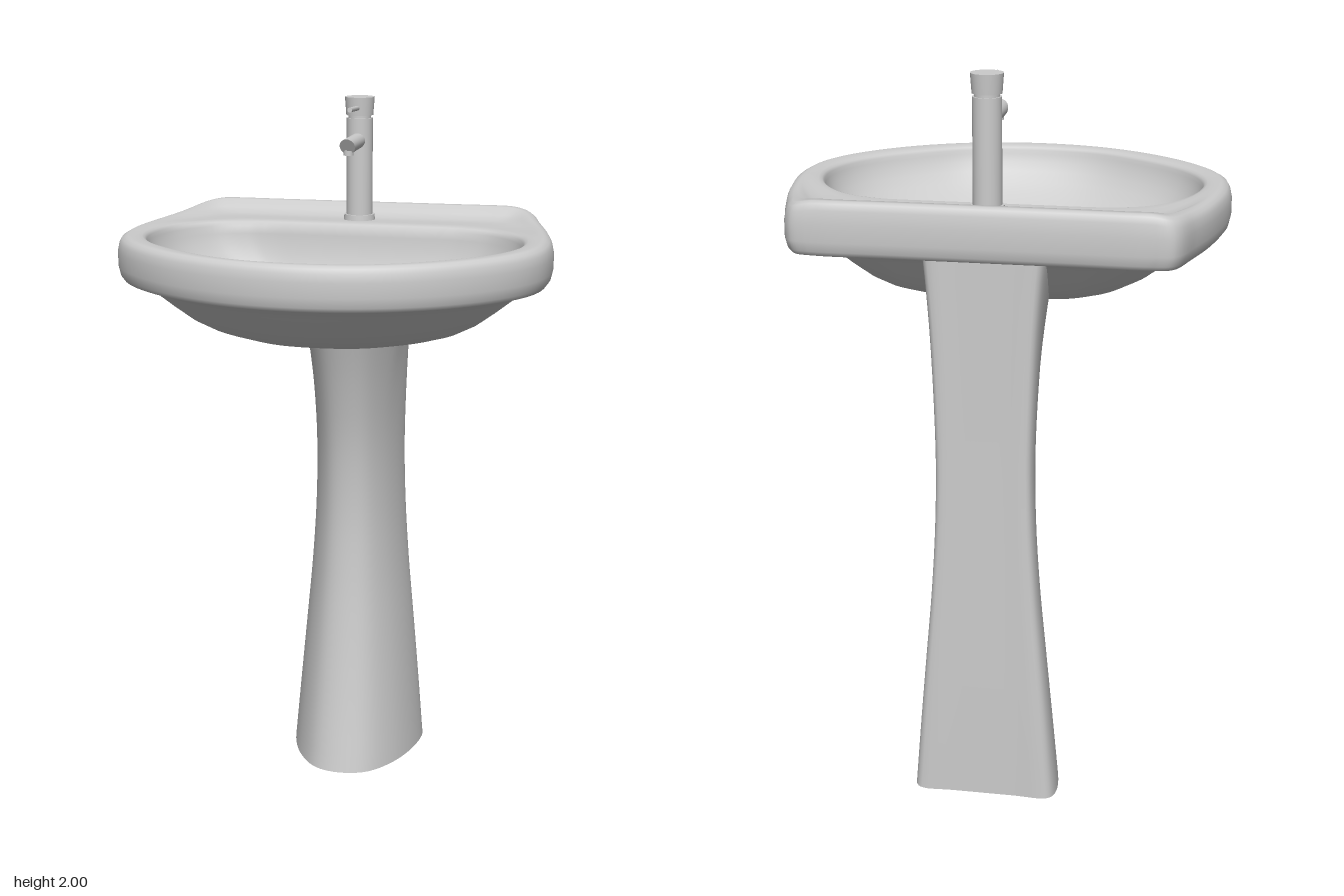
import * as THREE from 'three';

const V = (x, y, z) => new THREE.Vector3(x, y, z);
const ss = THREE.MathUtils.smoothstep;
const mat = new THREE.MeshStandardMaterial({ color: 0xcccccc, roughness: 0.5 });
const matDouble = new THREE.MeshStandardMaterial({ color: 0xcccccc, roughness: 0.5, side: THREE.DoubleSide });

// Closed smooth outline from a half outline [x, z], back centre to front centre, mirrored in x
function outline(half, n) {
  const mirrored = half.slice(1, -1).reverse().map(([x, z]) => [-x, z]);
  const pts = [...half, ...mirrored].map(([x, z]) => V(x, 0, z));
  const curve = new THREE.CatmullRomCurve3(pts, true, 'centripetal');
  return Array.from({ length: n }, (_, i) => curve.getPoint(i / n));
}

// Skin over a list of rings with equal point counts
function loft(rings) {
  const n = rings[0].length, index = [];
  for (let j = 0; j < rings.length - 1; j++)
    for (let i = 0; i < n; i++) {
      const a = j * n + i, b = j * n + (i + 1) % n;
      index.push(a, a + n, b, b, a + n, b + n);
    }
  const g = new THREE.BufferGeometry().setFromPoints(rings.flat());
  g.setIndex(index);
  g.computeVertexNormals();
  return g;
}

function add(parent, name, geometry, x = 0, y = 0, z = 0, material = mat) {
  const m = new THREE.Mesh(geometry, material);
  m.name = name;
  m.position.set(x, y, z);
  parent.add(m);
  return m;
}

// Basin: underside, rounded rim, raised back ledge and bowl in one skin
function basinGeometry() {
  const N = 132;
  const rim = outline([[0, -.49], [.25, -.49], [.45, -.49], [.5, -.475], [.54, -.36], [.58, -.2],
    [.602, -.02], [.585, .12], [.52, .24], [.38, .37], [.2, .457], [0, .487]], N);
  const hole = outline([[0, -.26], [.15, -.26], [.26, -.258], [.32, -.25], [.41, -.215], [.49, -.12],
    [.52, 0], [.505, .1], [.45, .2], [.33, .31], [.18, .395], [0, .42]], N);
  const under = outline([[0, -.42], [.15, -.42], [.27, -.415], [.34, -.4], [.43, -.34], [.51, -.2],
    [.545, -.02], [.53, .1], [.47, .21], [.35, .32], [.19, .41], [0, .435]], N);
  const scaled = (loop, s, y, cz) => loop.map(p => V(p.x * s, y, cz + (p.z - cz) * s));
  const rings = [];

  // underside
  for (const [s, y] of [[0, 1.378], [.35, 1.379], [.48, 1.381], [.57, 1.388], [.66, 1.403], [.75, 1.428],
    [.84, 1.464], [.93, 1.503], [1, 1.534]]) rings.push(scaled(under, s, y, -.05));

  // rim side and its rounded edges; the back is raised as a lip
  const lip = p => ss(-p.z, .12, .44) * (1 - ss(Math.abs(p.x), .42, .57));
  for (const [s, y, up] of [[.955, 1.534, 0], [.975, 1.537, 0], [.99, 1.549, 0], [1, 1.575, 0], [1, 1.615, .3],
    [.992, 1.637, .8], [.98, 1.649, 1], [.962, 1.655, 1]])
    rings.push(scaled(rim, s, y, 0).map(p => V(p.x, p.y + .026 * up * lip(p), p.z)));

  // top of the rim, dipping into the tap deck at the back
  for (const [k, y, up] of [[.1, 1.657, .9], [.22, 1.657, .1], [.35, 1.657, -.4], [.55, 1.656, -.4],
    [.75, 1.654, -.3], [.88, 1.65, -.1], [.96, 1.643, 0], [1, 1.632, 0]])
    rings.push(rim.map((p, i) => {
      const q = V(p.x * .962, y, p.z * .962).lerp(V(hole[i].x, y, hole[i].z), k);
      q.y += .026 * up * (up > 0 ? lip(q) : ss(-p.z, .1, .4));
      return q;
    }));

  // bowl, falling towards the drain
  for (const [s, y] of [[.985, 1.61], [.96, 1.585], [.92, 1.557], [.86, 1.527], [.78, 1.497], [.68, 1.469],
    [.56, 1.446], [.42, 1.429], [.26, 1.417], [.1, 1.411], [0, 1.41]])
    rings.push(scaled(hole, s, y, -.13));
  return loft(rings);
}

// Pedestal: flat-backed hollow column, waisted, its top fitted to the basin underside
function pedestalGeometry() {
  const section = outline([[0, 0], [.45, 0], [.88, 0], [.97, .05], [1, .16], [.93, .42],
    [.74, .7], [.42, .93], [0, 1]], 64);
  // half width, height, front z
  const profile = new THREE.CatmullRomCurve3([V(.2, 0, -.08), V(.183, .2, -.118), V(.165, .4, -.15),
    V(.147, .6, -.174), V(.135, .8, -.184), V(.132, 1, -.17), V(.142, 1.2, -.128), V(.163, 1.395, -.07)]);
  const rings = [];
  for (let j = 0; j <= 28; j++) {
    const t = j / 28, c = profile.getPoint(t);
    const back = -.46 + .012 * ss(t, 0, 1);
    rings.push(section.map(p => {
      const z = back + p.z * (c.z - back);
      return V(p.x * c.x, c.y + .14 * ss(-z, .25, .42) * ss(t, .7, 1), z);
    }));
  }
  return loft(rings);
}

function createTap() {
  const tap = new THREE.Group();
  tap.name = 'tap';
  const z = -.36;
  add(tap, 'tapBase', new THREE.CylinderGeometry(.044, .046, .02, 32), 0, 1.652, z);
  add(tap, 'tapBody', new THREE.CylinderGeometry(.038, .038, .3, 32), 0, 1.79, z);
  add(tap, 'tapNeck', new THREE.CylinderGeometry(.033, .033, .012, 32), 0, 1.944, z);
  add(tap, 'tapCap', new THREE.CylinderGeometry(.043, .039, .052, 32), 0, 1.974, z);

  // spout with a slanted tip
  const spout = new THREE.CylinderGeometry(.022, .022, .19, 24).rotateX(Math.PI / 2).translate(0, 0, .095);
  const pos = spout.attributes.position;
  for (let i = 0; i < pos.count; i++)
    if (pos.getZ(i) > .1) pos.setZ(i, .18 + pos.getY(i) * .6);
  spout.computeVertexNormals();
  add(tap, 'spout', spout, 0, 1.877, z);
  add(tap, 'spoutNozzle', new THREE.CylinderGeometry(.014, .014, .014, 20), 0, 1.858, -.197);

  // lever
  const lever = add(tap, 'lever', new THREE.CylinderGeometry(.007, .007, .15, 12).rotateX(Math.PI / 2), 0, 1.972, -.287);
  lever.rotation.x = -.05;
  return tap;
}

function createDrain() {
  const drain = new THREE.Group();
  drain.name = 'drain';
  add(drain, 'drainRing', new THREE.TorusGeometry(.037, .006, 10, 36).rotateX(Math.PI / 2), 0, 1.418, -.13);
  // grate with petal slots
  const disc = new THREE.Shape().absarc(0, 0, .036, 0, Math.PI * 2);
  for (let i = 0; i < 10; i++) {
    const a = i * Math.PI / 5, at = (r, d) => new THREE.Vector2(r * Math.cos(a + d), r * Math.sin(a + d));
    disc.holes.push(new THREE.Path([at(.012, -.14), at(.029, -.2), at(.032, 0), at(.029, .2), at(.012, .14)]));
  }
  const grate = new THREE.ExtrudeGeometry(disc, { depth: .006, bevelEnabled: false, curveSegments: 24 });
  add(drain, 'drainGrate', grate.rotateX(-Math.PI / 2), 0, 1.415, -.13);
  return drain;
}

export function createModel() {
  const model = new THREE.Group();
  model.name = 'pedestalSink';
  add(model, 'basin', basinGeometry());
  add(model, 'pedestal', pedestalGeometry(), 0, 0, 0, matDouble);
  model.add(createTap(), createDrain());
  return model;
}
